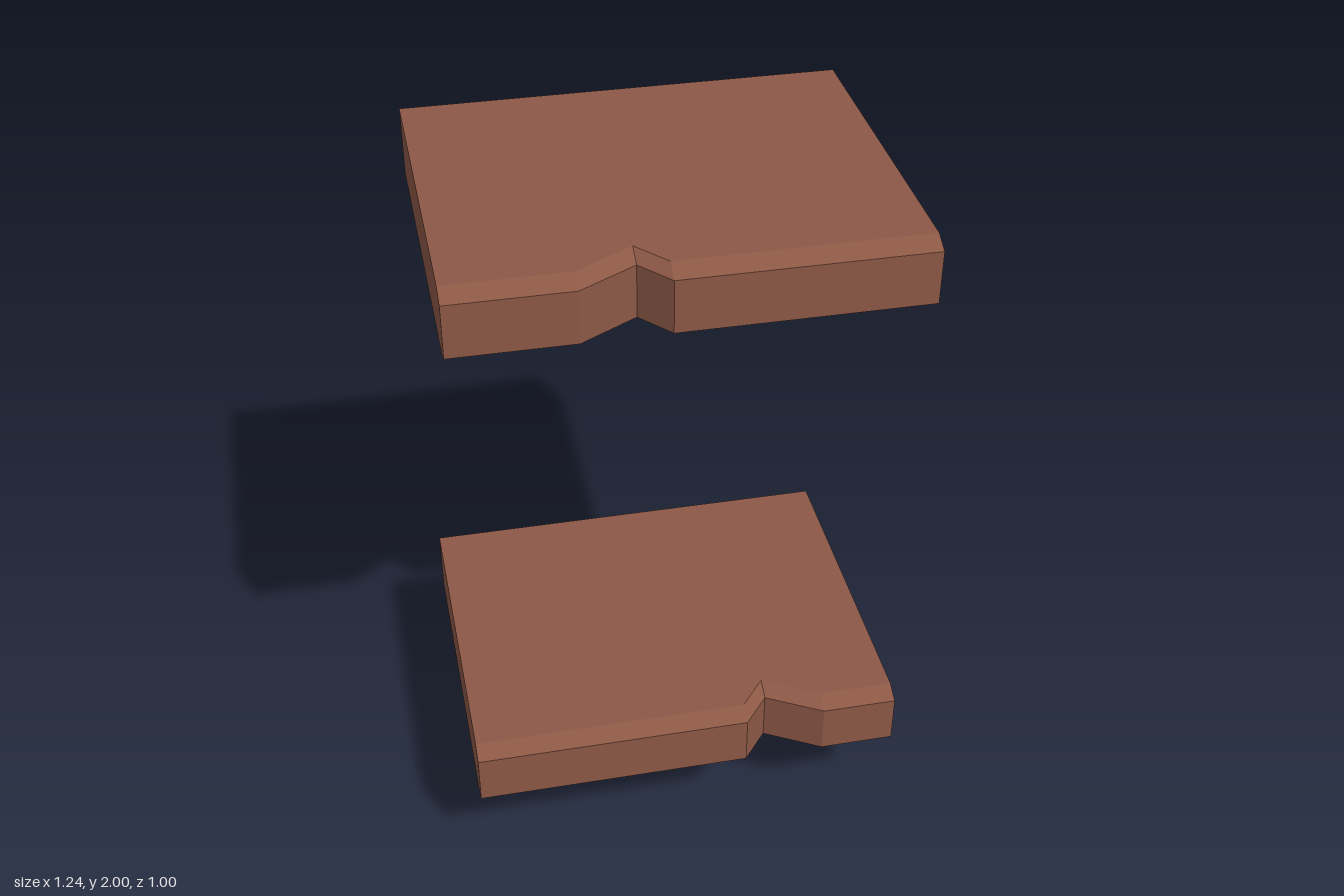
import * as THREE from 'three';
import { toCreasedNormals } from 'three/addons/utils/BufferGeometryUtils.js';

// Solid from matching convex sections: each is { x, points: [[z, y], ...] }
function loft(sections, crease) {
  const pos = [];
  const put = (s, i) => {
    const [z, y] = s.points[i % s.points.length];
    pos.push(s.x, y, z);
  };
  const n = sections[0].points.length;
  for (let k = 0; k + 1 < sections.length; k++) {
    const a = sections[k], b = sections[k + 1];
    for (let i = 0; i < n; i++) {
      put(a, i); put(a, i + 1); put(b, i);
      put(a, i + 1); put(b, i + 1); put(b, i);
    }
  }
  // end caps
  const first = sections[0], last = sections[sections.length - 1];
  for (let i = 1; i + 1 < n; i++) {
    put(last, 0); put(last, i); put(last, i + 1);
    put(first, 0); put(first, i + 1); put(first, i);
  }
  const g = new THREE.BufferGeometry();
  g.setAttribute('position', new THREE.Float32BufferAttribute(pos, 3));
  return toCreasedNormals(g, crease);
}

const HALF = 0.622, THICK = 0.2, DROP = 0.262;

// Board with a bevelled front edge that dips back at a chip
function boardGeometry(chip) {
  const section = ([x, dip]) => ({
    x,
    points: [
      [-0.5, 0], [-0.5, THICK], [0.45 - dip, THICK],
      [0.5 - dip, THICK - 0.025], [0.5 - dip, 0.025], [0.45 - dip, 0],
    ],
  });
  const [start, apex, end] = chip;
  return loft([[-HALF, 0], [start, 0], [apex, 0.09], [end, 0], [HALF, 0]].map(section), 0.2);
}

// Tapered bracket whose sloping front is rounded towards the top
function bracketGeometry() {
  const sections = [], steps = 10, halfWidth = 0.0625;
  for (let i = 0; i <= steps; i++) {
    const u = (i / steps) * 2 - 1;
    sections.push({
      x: u * halfWidth,
      points: [[-0.5, -DROP], [-0.5, 0], [0.15 + 0.05 * (1 - u * u), 0], [-0.25, -DROP]],
    });
  }
  return loft(sections, 0.5);
}

export function createModel() {
  const model = new THREE.Group();
  model.name = 'shelves';
  const wood = new THREE.MeshStandardMaterial({ color: 0x8c5846 });
  wood.name = 'brown wood';
  const bracket = bracketGeometry();

  const addShelf = (name, y, chip) => {
    const shelf = new THREE.Group();
    shelf.name = name;
    shelf.position.y = y;
    const board = new THREE.Mesh(boardGeometry(chip), wood);
    board.name = 'board';
    shelf.add(board);
    for (const side of [1, -1]) {
      const mesh = new THREE.Mesh(bracket, wood);
      mesh.name = side > 0 ? 'leftBracket' : 'rightBracket';
      mesh.position.x = side * 0.4375;
      shelf.add(mesh);
    }
    model.add(shelf);
  };

  addShelf('upperShelf', 1.8, [-0.29, -0.132, -0.057]);
  addShelf('lowerShelf', DROP, [0.172, 0.247, 0.405]);
  return model;
}
